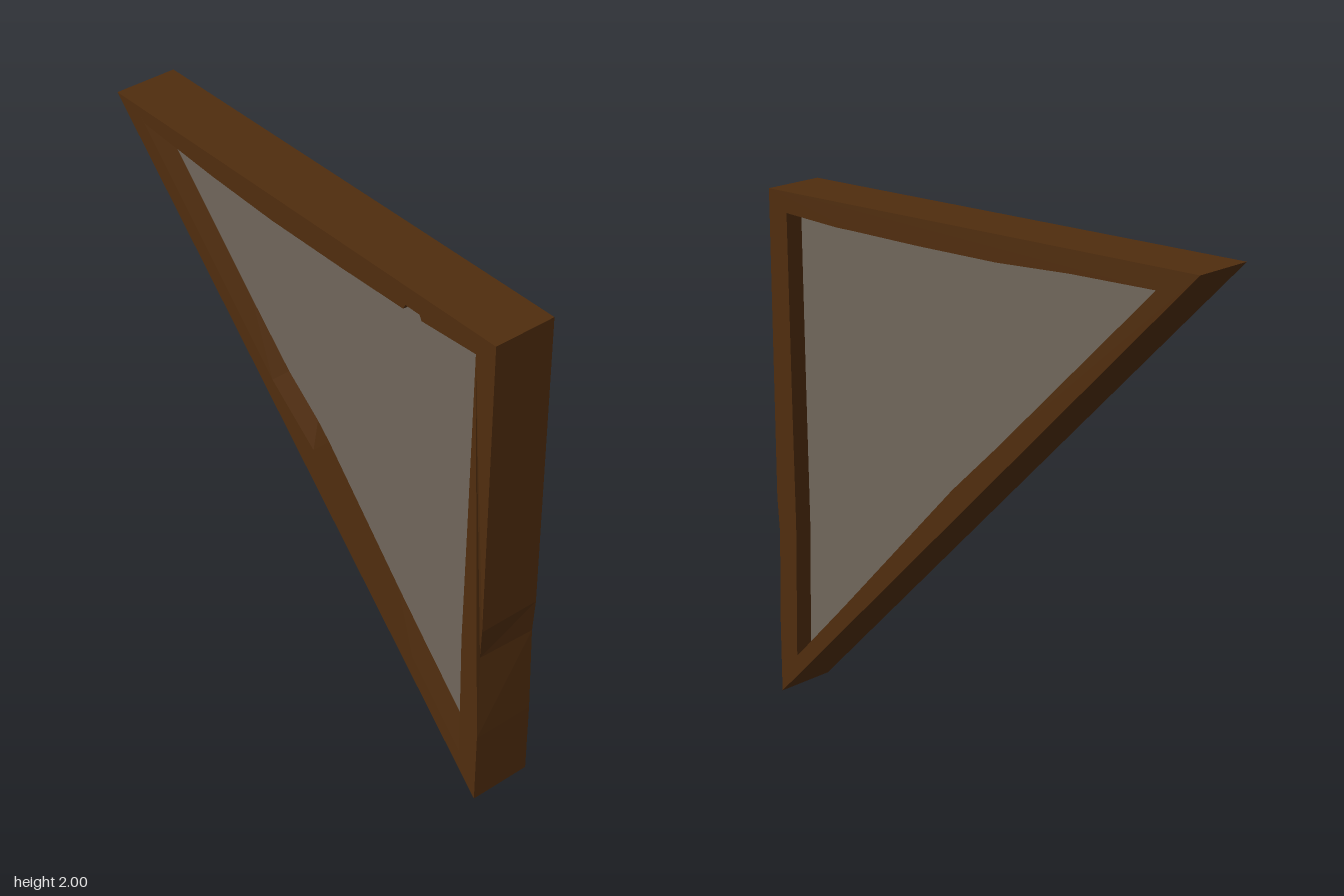
import * as THREE from 'three';

const DEPTH = 0.25;

// Extrudes an x/y outline centred on z = 0. Each dent is [x, y, side, dx, dy, dz]:
// it moves the corner at (x, y) on the front (side 1) or back (side -1) only.
function slab(name, outline, depth, material, dents = []) {
  const shape = new THREE.Shape(outline.map(([x, y]) => new THREE.Vector2(x, y)));
  const geometry = new THREE.ExtrudeGeometry(shape, { depth, bevelEnabled: false, steps: 1 });
  geometry.translate(0, 0, -depth / 2);
  const pos = geometry.attributes.position;
  for (let i = 0; i < pos.count; i++) {
    const x = pos.getX(i), y = pos.getY(i), z = pos.getZ(i);
    for (const [px, py, side, dx, dy, dz] of dents) {
      if (Math.hypot(x - px, y - py) < 1e-3 && z * side > 0) {
        pos.setXYZ(i, x + dx, y + dy, z + dz);
      }
    }
  }
  geometry.computeVertexNormals();
  const mesh = new THREE.Mesh(geometry, material);
  mesh.name = name;
  return mesh;
}

export function createModel() {
  const wood = new THREE.MeshStandardMaterial({ color: 0x502d0e });
  wood.name = 'dark wood';
  const pane = new THREE.MeshStandardMaterial({ color: 0x70665b });
  pane.name = 'grey pane';

  const group = new THREE.Group();
  group.name = 'triangularWindow';

  // Top beam with a sagging lower edge and a small notch in front
  group.add(slab('topBeam', [
    [1, 2], [-0.9, 2], [-0.82, 1.92], [-0.45, 1.915], [-0.12, 1.9], [0.25, 1.9],
    [0.56, 1.905], [0.57, 1.925], [0.64, 1.925], [0.65, 1.905], [0.91, 1.92],
  ], DEPTH, wood, [
    [-0.82, 1.92, 1, -0.02, 0.025, 0],
    [0.57, 1.925, -1, 0, -0.02, 0],
    [0.64, 1.925, -1, 0, -0.02, 0],
  ]));

  // Upright post with a chipped outer edge
  group.add(slab('sidePost', [
    [1, 0], [1, 0.3], [1, 0.66], [1, 0.8], [1, 2],
    [0.91, 1.92], [0.905, 1.2], [0.9, 0.7], [0.912, 0.17],
  ], DEPTH, wood, [
    [1, 0.66, 1, -0.02, 0, -0.015],
    [1, 0.66, -1, -0.01, 0, 0],
  ]));

  // Diagonal beam with a worn bulge at the middle
  group.add(slab('diagonalBeam', [
    [-1, 2], [1, 0], [0.912, 0.17], [0.65, 0.44], [0.1, 1.04],
    [-0.13, 1.22], [-0.82, 1.92], [-0.9, 2],
  ], DEPTH, wood, [
    [-0.13, 1.22, -1, 0.01, 0.01, 0],
    [0.1, 1.04, -1, -0.01, -0.01, 0],
  ]));

  // Recessed pane, its edges seated inside the beams
  group.add(slab('pane', [[-0.91, 1.96], [0.96, 0.09], [0.96, 1.96]], 0.1, pane));

  return group;
}
